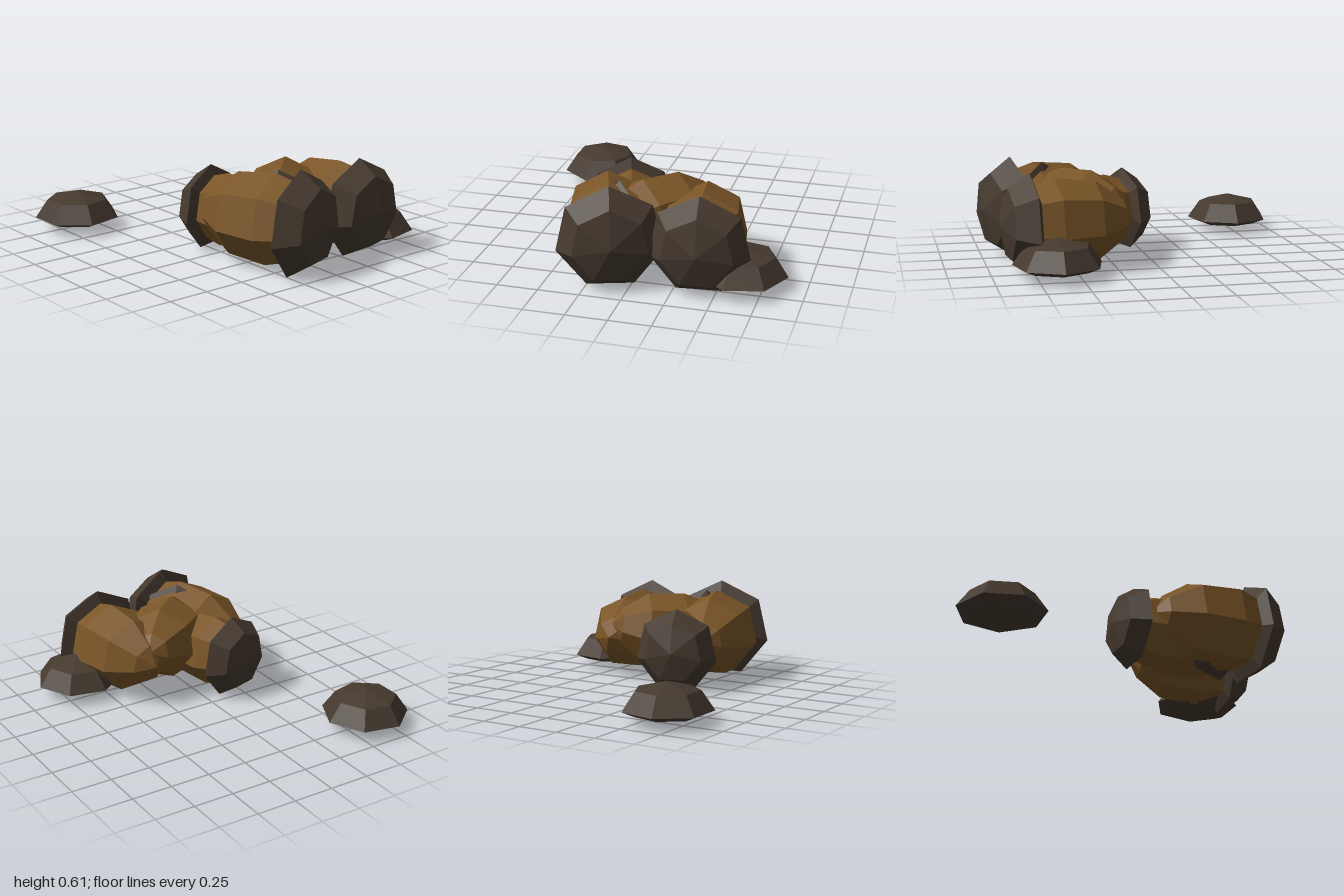
import * as THREE from 'three';

const SIDES = 7;

// Seven-sided profile along local y, with one corner pointing to local -z
function turned(points) {
  const pts = points.map(([r, y]) => new THREE.Vector2(r, y));
  return new THREE.LatheGeometry(pts, SIDES, Math.PI, Math.PI * 2);
}

export function createModel() {
  const nutBrown = new THREE.MeshStandardMaterial({ color: 0x7a5527, flatShading: true });
  nutBrown.name = 'nutBrown';
  const capBrown = new THREE.MeshStandardMaterial({ color: 0x463a2f, flatShading: true });
  capBrown.name = 'capBrown';

  // Unit shapes: the cap's widest ring has radius 1 at y = 0
  const capGeometry = turned([[0, -0.12], [0.707, -0.12], [1, 0], [0.707, 0.42], [0, 0.6]]);
  const nutGeometry = turned([[0, -2.1], [0.4, -1.86], [0.78, -1.3], [0.86, -0.5], [0.74, -0.06], [0, 0]]);

  const model = new THREE.Group();
  model.name = 'acornPile';

  // Acorns lying on their sides: rim centre, radius, direction the cap faces
  const acorns = [
    { name: 'frontAcorn', at: [0.81, 0.29, 0.12], r: 0.32, facing: [0.952, 0, -0.306] },
    { name: 'rightAcorn', at: [0.09, 0.247, 0.2], r: 0.262, facing: [-0.957, 0, 0.29] },
    { name: 'backAcorn', at: [0.76, 0.28, -0.395], r: 0.305, facing: [0.995, 0, -0.1] },
    { name: 'middleAcorn', at: [0.59, 0.28, 0.09], r: 0.292, facing: [0.67, -0.12, 0.73] },
  ];
  for (const { name, at, r, facing } of acorns) {
    const acorn = new THREE.Group();
    acorn.name = name;
    const axis = new THREE.Vector3(...facing).normalize();
    const side = new THREE.Vector3(0, 1, 0).cross(axis).normalize();
    const down = axis.clone().cross(side).negate();
    if (down.y > 0) down.negate();
    const across = axis.clone().cross(down);
    acorn.quaternion.setFromRotationMatrix(new THREE.Matrix4().makeBasis(across, axis, down));
    acorn.position.set(...at);
    acorn.scale.setScalar(r);

    const nut = new THREE.Mesh(nutGeometry, nutBrown);
    nut.name = 'nut';
    const cap = new THREE.Mesh(capGeometry, capBrown);
    cap.name = 'cap';
    acorn.add(nut, cap);
    model.add(acorn);
  }

  // Loose caps resting on the ground
  const looseCaps = [
    { name: 'looseCapFront', at: [-0.737, 0.08, 0.638] },
    { name: 'looseCapBack', at: [0.627, 0.08, -0.625] },
  ];
  for (const { name, at } of looseCaps) {
    const cap = new THREE.Mesh(capGeometry, capBrown);
    cap.name = name;
    cap.position.set(...at);
    cap.scale.setScalar(0.268);
    model.add(cap);
  }

  return model;
}
